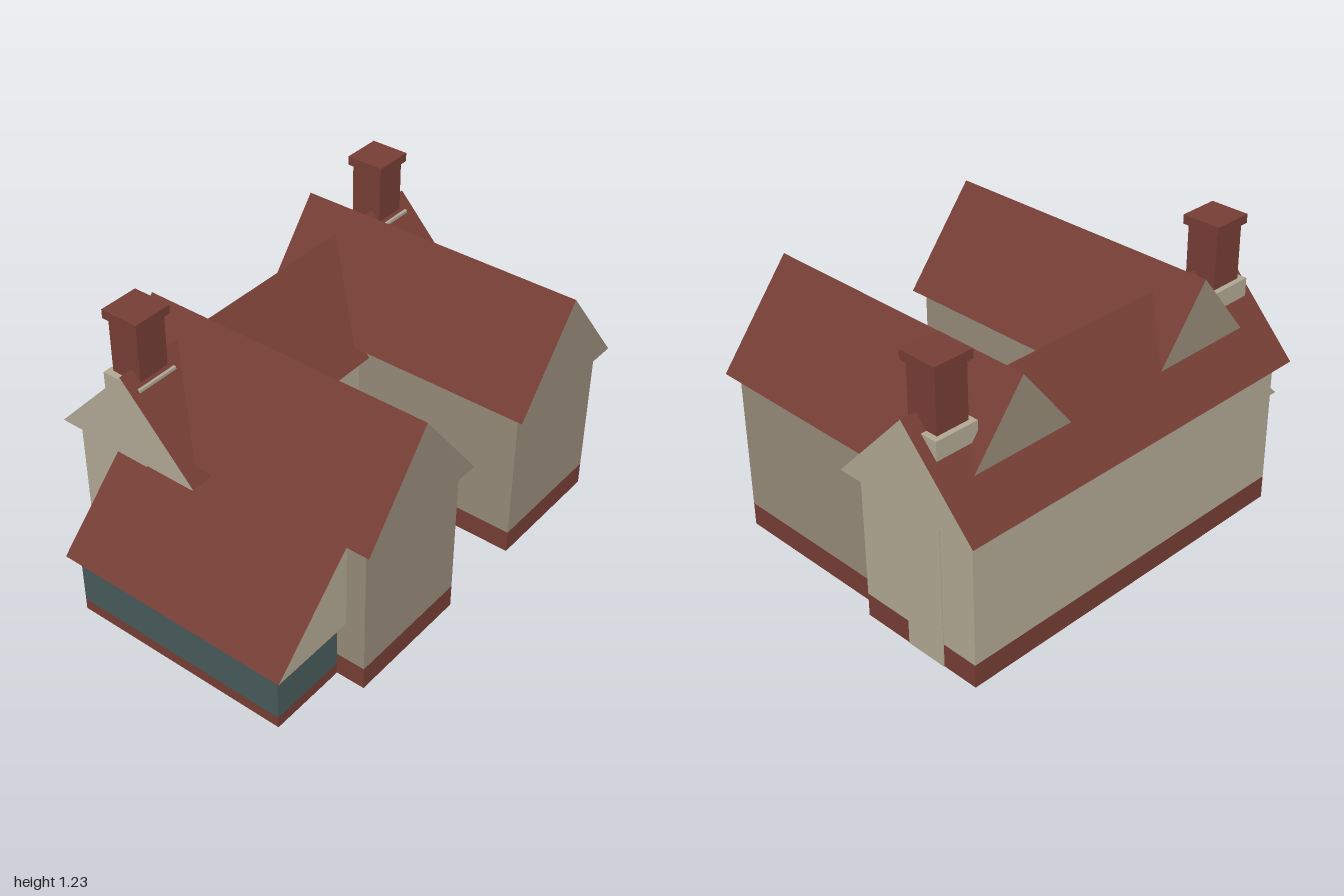
import * as THREE from 'three';

const mat = (color) => new THREE.MeshStandardMaterial({ color });
const brick = mat(0x743d34);
const cream = mat(0xb0a793);
const stone = mat(0x968a78);
const teal = mat(0x47595a);

// Box given by its limits on each axis
function box(name, material, [x0, x1], [y0, y1], [z0, z1]) {
  const geo = new THREE.BoxGeometry(x1 - x0, y1 - y0, z1 - z0);
  geo.translate((x0 + x1) / 2, (y0 + y1) / 2, (z0 + z1) / 2);
  const mesh = new THREE.Mesh(geo, material);
  mesh.name = name;
  return mesh;
}

// Solid roof: triangular profile run along z, plastered ends and brick slopes
function roof(name, endMaterial, profile, length) {
  const shape = new THREE.Shape(profile.map(([x, y]) => new THREE.Vector2(x, y)));
  const geo = new THREE.ExtrudeGeometry(shape, { depth: length, bevelEnabled: false });
  const mesh = new THREE.Mesh(geo, [endMaterial, brick]);
  mesh.name = name;
  return mesh;
}

// Walls with a flush plinth of another colour below them
function walls(name, material, x, z, plinthTop, wallTop) {
  const group = new THREE.Group();
  group.name = name;
  group.add(
    box(name + 'Plinth', brick, x, [0, plinthTop], z),
    box(name + 'Walls', material, x, [plinthTop, wallTop], z)
  );
  return group;
}

function chimney(name, x, breastX) {
  const group = new THREE.Group();
  group.name = name;
  const z = -0.41;
  group.add(
    box('chimneyBreast', cream, breastX, [0, 0.955], [-0.503, -0.318]),
    box('chimneyStack', brick, [x - 0.072, x + 0.072], [0.95, 1.195], [z - 0.07, z + 0.07]),
    box('chimneyCap', brick, [x - 0.087, x + 0.087], [1.192, 1.23], [z - 0.085, z + 0.085])
  );
  return group;
}

export function createModel() {
  const model = new THREE.Group();
  model.name = 'house';

  // Main range with its ridge running along x
  model.add(walls('mainRange', cream, [-0.68, 0.952], [-0.663, -0.093], 0.1, 0.65));
  const mainRoof = roof('mainRoof', cream, [[-0.337, 0.65], [0.337, 0.65], [0, 1.008]], 1.72);
  mainRoof.rotation.y = Math.PI / 2;
  mainRoof.position.set(-0.72, 0, -0.38);
  model.add(mainRoof);

  // Two matching front wings
  for (const [side, x] of [['right', -0.338], ['left', 0.617]]) {
    model.add(walls(side + 'Wing', stone, [x - 0.28, x + 0.28], [-0.093, 0.672], 0.1, 0.7));
    const wingRoof = roof(side + 'WingRoof', stone, [[-0.318, 0.7], [0.318, 0.7], [0, 1.1]], 1.284);
    wingRoof.position.set(x, 0, -0.572);
    model.add(wingRoof);
  }

  // Glazed lean-to against the right-hand wing
  model.add(walls('leanTo', teal, [-0.96, -0.62], [-0.43, 0.547], 0.05, 0.282));
  const leanRoof = roof('leanToRoof', cream, [[-1, 0.282], [-0.618, 0.282], [-0.618, 0.66]], 1.055);
  leanRoof.position.z = -0.468;
  model.add(leanRoof);

  // Chimneys at both ends of the main ridge
  model.add(chimney('rightChimney', -0.583, [-0.683, -0.49]));
  model.add(chimney('leftChimney', 0.858, [0.765, 0.955]));

  return model;
}
